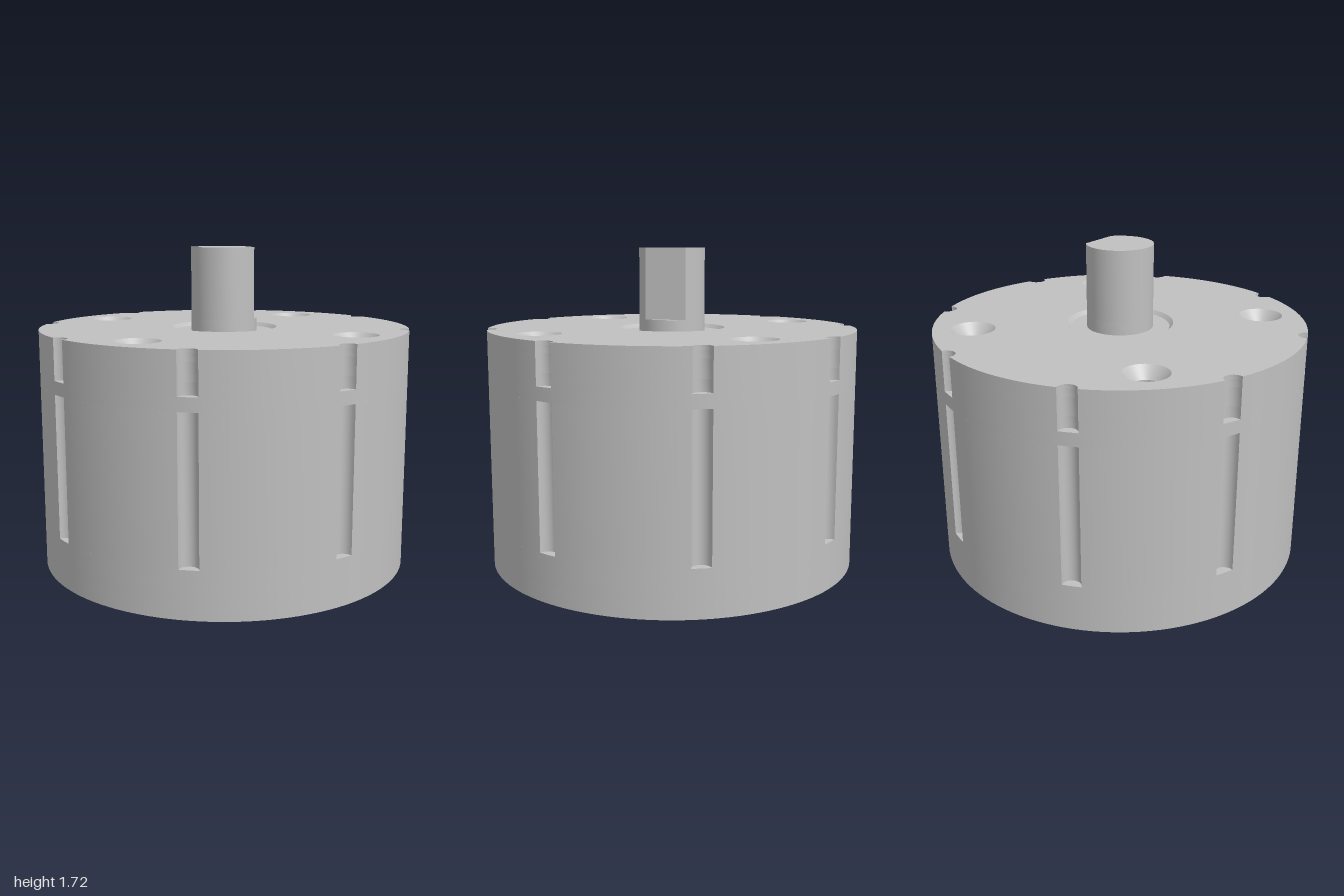
import * as THREE from 'three';
import { toCreasedNormals } from 'three/addons/utils/BufferGeometryUtils.js';

const metal = new THREE.MeshStandardMaterial({ color: 0xc0c0c0 });
metal.name = 'plain grey metal';

const SCREW = 0.556; // screw hole offset on x and z
const corners = [[1, 1], [1, -1], [-1, 1], [-1, -1]].map(([a, b]) => [a * SCREW, b * SCREW]);

// Upright extrusion of a shape between two heights
function slab(name, shape, y0, y1) {
  let g = new THREE.ExtrudeGeometry(shape, { depth: y1 - y0, bevelEnabled: false, curveSegments: 24 });
  g.rotateX(-Math.PI / 2);
  g.translate(0, y0, 0);
  g = toCreasedNormals(g, 0.5);
  const mesh = new THREE.Mesh(g, metal);
  mesh.name = name;
  return mesh;
}

// Unit circle outline, optionally with eight round grooves
function outline(grooved) {
  const pts = [];
  const half = grooved ? 0.05 : 0;
  for (let k = 0; k < 8; k++) {
    const mid = Math.PI / 8 + k * Math.PI / 4;
    if (grooved) {
      for (let i = 1; i < 10; i++) {
        const a = mid - Math.PI / 2 - 0.025 - (Math.PI - 0.05) * i / 10;
        pts.push(new THREE.Vector2(Math.cos(mid) + 0.05 * Math.cos(a), Math.sin(mid) + 0.05 * Math.sin(a)));
      }
    }
    const n = 16;
    for (let i = 0; i < (grooved ? n + 1 : n); i++) {
      const a = mid + half + (Math.PI / 4 - 2 * half) * i / n;
      pts.push(new THREE.Vector2(Math.cos(a), Math.sin(a)));
    }
  }
  return new THREE.Shape(pts);
}

function hole(shape, x, z, r) {
  const p = new THREE.Path();
  p.absarc(x, z, r, 0, Math.PI * 2, true);
  shape.holes.push(p);
}

// Inward facing conical ring
function funnel(name, x, z, rTop, rLow, yTop, yLow) {
  const g = new THREE.LatheGeometry([new THREE.Vector2(rTop, yTop), new THREE.Vector2(rLow, yLow)], 48);
  const mesh = new THREE.Mesh(g, funnelMetal);
  mesh.name = name;
  mesh.position.set(x, 0, z);
  return mesh;
}
const funnelMetal = metal;
metal.side = THREE.DoubleSide;

export function createModel() {
  const model = new THREE.Group();
  model.name = 'gearedMotor';

  // Housing layers: name, bottom, top, grooved, centre hole radius, screw hole radius
  const layers = [
    ['basePocket', 0, 0.09, false, 0.395, 0.057],
    ['baseBore', 0.09, 0.2, false, 0.286, 0.057],
    ['baseUpper', 0.2, 0.25, false, 0.25, 0],
    ['groovedBody', 0.25, 1.0, true, 0.25, 0],
    ['plainBand', 1.0, 1.07, false, 0, 0],
    ['coverLower', 1.07, 1.13, true, 0, 0.045],
    ['coverMiddle', 1.13, 1.225, true, 0, 0.062],
    ['coverUpper', 1.225, 1.265, true, 0, 0.118],
    ['coverTop', 1.265, 1.285, true, 0.288, 0.118],
  ];
  const housing = new THREE.Group();
  housing.name = 'housing';
  for (const [name, y0, y1, grooved, centre, screw] of layers) {
    const s = outline(grooved);
    if (centre) hole(s, 0, 0, centre);
    if (screw) for (const [x, z] of corners) hole(s, x, z, screw);
    housing.add(slab(name, s, y0, y1));
  }
  model.add(housing);

  // Countersinks and the bevel around the shaft
  for (const [x, z] of corners) model.add(funnel('countersink', x, z, 0.118, 0.062, 1.285, 1.225));
  model.add(funnel('shaftRecessBevel', 0, 0, 0.288, 0.268, 1.285, 1.265));

  // Output shaft with one flat side
  const r = 0.178, flat = Math.acos(0.14 / r);
  const round = new THREE.Shape();
  round.absarc(0, 0, r, 0, Math.PI * 2, false);
  const dShape = new THREE.Shape();
  dShape.absarc(0, 0, r, flat, Math.PI * 2 - flat, false);
  dShape.closePath();
  const shaft = new THREE.Group();
  shaft.name = 'outputShaft';
  shaft.add(slab('shaftBase', round, 1.25, 1.335), slab('shaftFlatted', dShape, 1.335, 1.715));
  model.add(shaft);

  // Input gear inside the lower bore
  const teeth = 12, pts = [];
  for (let i = 0; i < teeth; i++) {
    for (const [f, rad] of [[0, 0.165], [0.3, 0.165], [0.45, 0.222], [0.8, 0.222]]) {
      const a = (i + f) / teeth * Math.PI * 2;
      pts.push(new THREE.Vector2(rad * Math.cos(a), rad * Math.sin(a)));
    }
  }
  const gear = new THREE.Shape(pts);
  hole(gear, 0, 0, 0.08);
  model.add(slab('inputGear', gear, 0.22, 1.0));

  return model;
}
